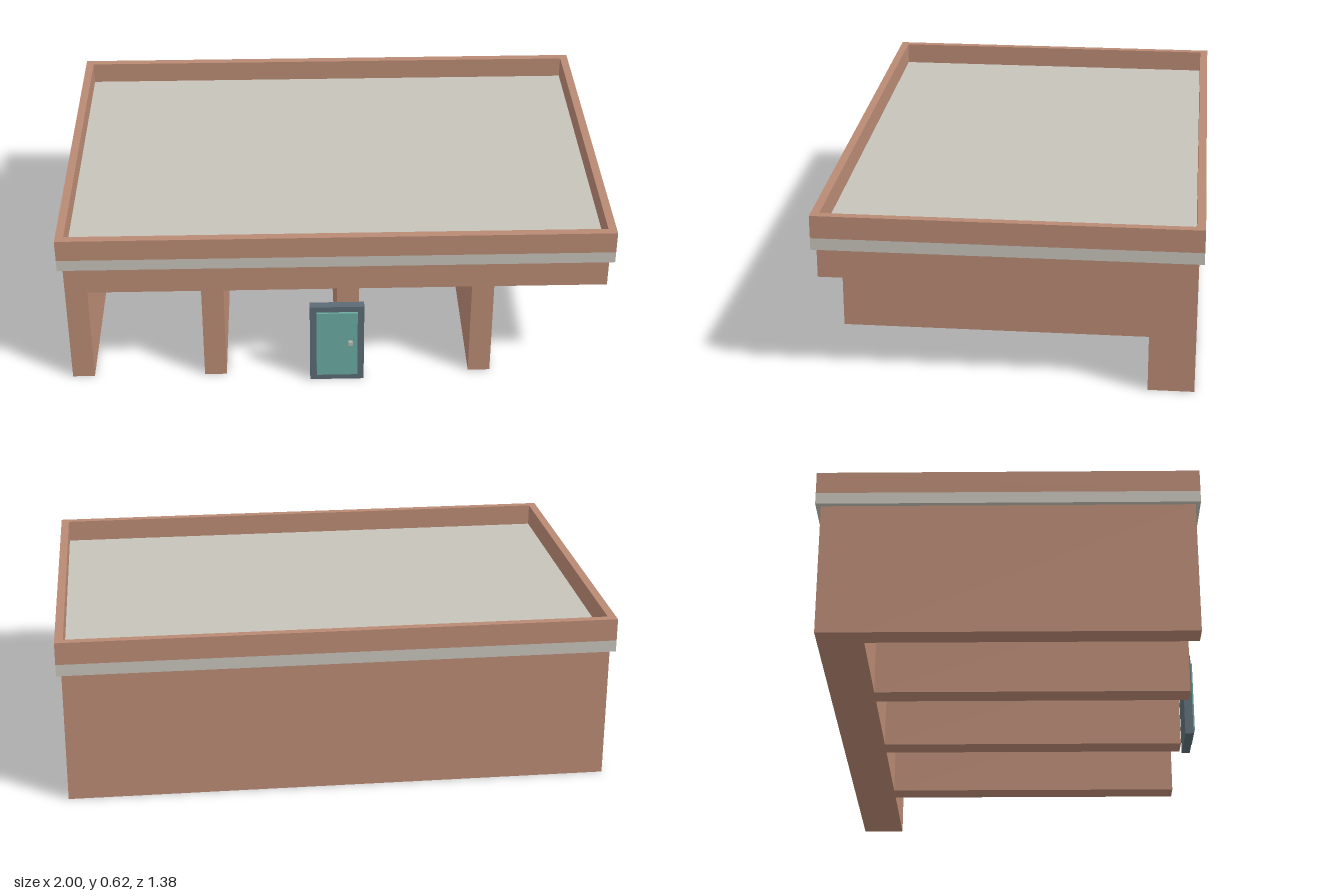
import * as THREE from 'three';

const material = (name, color) => {
  const m = new THREE.MeshStandardMaterial({ color });
  m.name = name;
  return m;
};

export function createModel() {
  const brick = material('brick', 0xb98a74);
  const stone = material('pale stone', 0xc6c3ba);
  const slate = material('slate frame', 0x5b6b75);
  const teal = material('teal door', 0x6aaaa0);
  const metal = material('knob metal', 0xb9b6b0);

  const model = new THREE.Group();
  model.name = 'building';

  const add = (name, geometry, mat, parent = model) => {
    const mesh = new THREE.Mesh(geometry, mat);
    mesh.name = name;
    parent.add(mesh);
    return mesh;
  };
  // Box given by its minimum and maximum corners
  const box = (name, [x0, y0, z0], [x1, y1, z1], mat, parent) => {
    const g = new THREE.BoxGeometry(x1 - x0, y1 - y0, z1 - z0);
    g.translate((x0 + x1) / 2, (y0 + y1) / 2, (z0 + z1) / 2);
    return add(name, g, mat, parent);
  };

  const halfX = 0.982, bodyTop = 0.491, bodyFront = 0.633, bodyBack = -0.674;
  const bayTop = 0.382, bayBack = -0.512, wall = 0.081, pitch = 0.491;

  // Bay walls: front outline with four open bays, the last open to the side
  const outline = new THREE.Shape();
  outline.moveTo(-halfX, bodyTop);
  for (let i = 0; i < 4; i++) {
    const x = -halfX + i * pitch;
    outline.lineTo(x, i ? bayTop : 0);
    if (i) outline.lineTo(x, 0);
    outline.lineTo(x + wall, 0);
    outline.lineTo(x + wall, bayTop);
  }
  outline.lineTo(halfX, bayTop);
  outline.lineTo(halfX, bodyTop);
  outline.closePath();
  const bays = new THREE.ExtrudeGeometry(outline, { depth: bodyFront - bayBack, bevelEnabled: false });
  bays.translate(0, 0, bayBack);
  add('bayWalls', bays, brick);
  box('backWall', [-halfX, 0, bodyBack], [halfX, bodyTop, bayBack], brick);

  // Roof slab, whose edge shows as the pale band
  const roofFront = 0.65, roofBack = -0.692, roofY = 0.534, top = 0.616, rim = 0.03;
  box('roofSlab', [-1, bodyTop, roofBack], [1, roofY, roofFront], stone);

  // Parapet ring; shape y becomes -z when laid flat
  const rectangle = (path, inset) => {
    const x = 1 - inset, a = -roofFront + inset, b = -roofBack - inset;
    return path.moveTo(-x, a).lineTo(x, a).lineTo(x, b).lineTo(-x, b).closePath();
  };
  const ring = new THREE.Shape();
  rectangle(ring, 0);
  const opening = new THREE.Path();
  rectangle(opening, rim);
  ring.holes.push(opening);
  const parapet = new THREE.ExtrudeGeometry(ring, { depth: top - roofY, bevelEnabled: false });
  parapet.rotateX(-Math.PI / 2);
  parapet.translate(0, roofY, 0);
  add('parapet', parapet, brick);

  // Door standing just in front of the facade
  const door = new THREE.Group();
  door.name = 'door';
  model.add(door);
  box('doorFrame', [-0.099, 0, 0.643], [0.099, 0.329, 0.674], slate, door);
  box('doorPanel', [-0.075, 0.026, 0.674], [0.075, 0.306, 0.682], teal, door);
  box('doorKnob', [0.041, 0.166, 0.682], [0.057, 0.182, 0.692], metal, door);

  return model;
}
